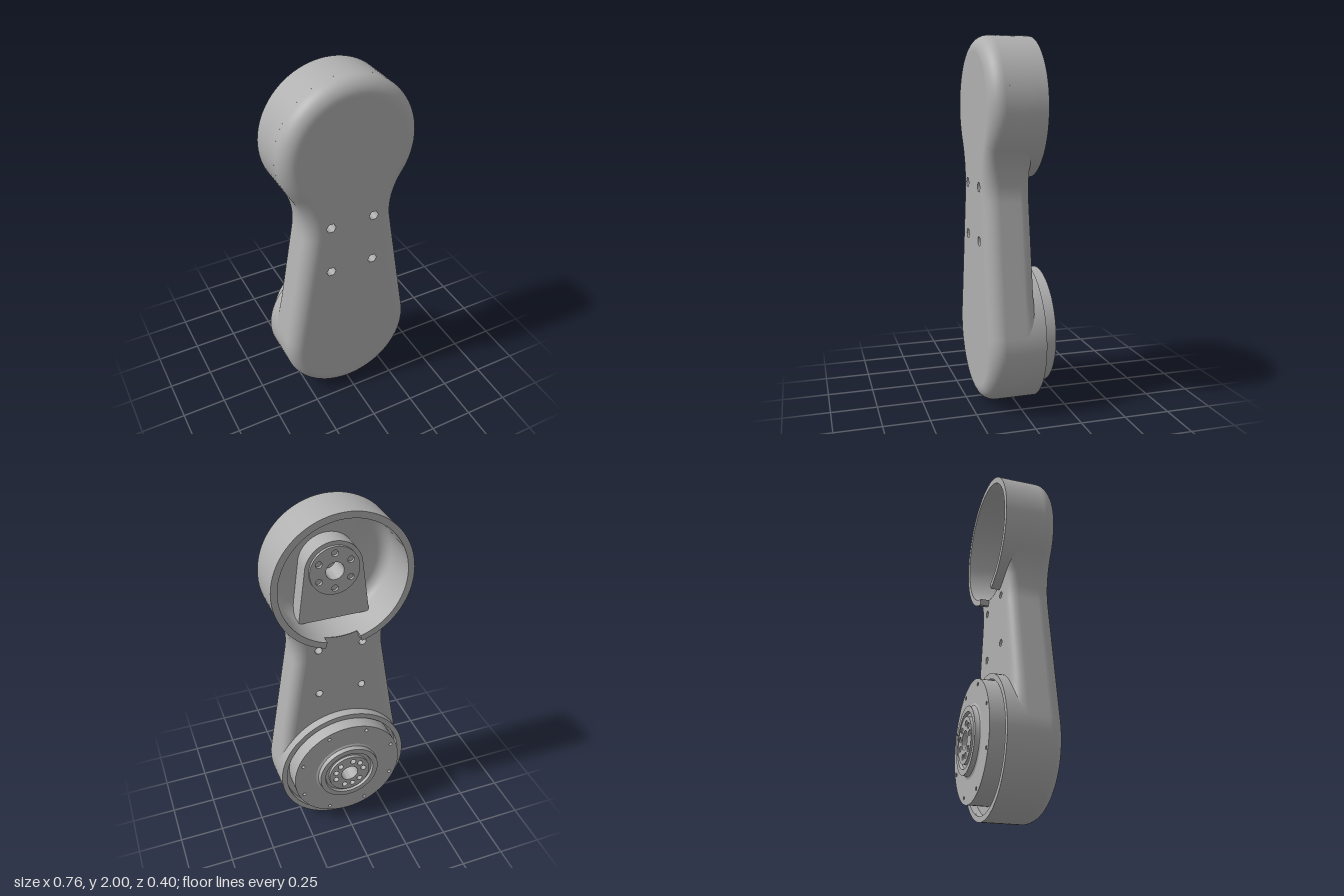
import * as THREE from 'three';
import { toCreasedNormals } from 'three/addons/utils/BufferGeometryUtils.js';

const R = 0.38, LOW = 0.38, HIGH = 1.62;   // end radius and the two joint heights
const FLANGE_Y = 0.403;

// Half outline: lower circle, straight flank, concave waist, upper circle
function outline() {
  const wr = 0.378, wx = 0.631, wy = 1.2;
  const a = Math.atan2(wy - LOW, wx) - Math.acos((R + wr) / Math.hypot(wx, wy - LOW));
  const b = Math.atan2(HIGH - wy, -wx);
  const half = [];
  const arc = (cx, cy, r, t0, t1, n, sign) => {
    for (let i = 0; i <= n; i++) {
      const t = t0 + (t1 - t0) * i / n, c = Math.cos(t), s = Math.sin(t);
      half.push({ x: cx + r * c, y: cy + r * s, nx: sign * c, ny: sign * s });
    }
  };
  arc(0, LOW, R, -Math.PI / 2, a, 24, 1);
  const p = half[half.length - 1];
  const q = { x: wx - wr * Math.cos(a), y: wy - wr * Math.sin(a) };
  for (let i = 1; i < 10; i++) {
    half.push({ ...p, x: p.x + (q.x - p.x) * i / 10, y: p.y + (q.y - p.y) * i / 10 });
  }
  arc(wx, wy, wr, a + Math.PI, b, 16, -1);
  arc(0, HIGH, R, b - Math.PI, Math.PI / 2, 30, 1);
  // drop the doubled point where waist and upper circle meet
  const clean = half.filter((v, i) => !i || Math.hypot(v.x - half[i - 1].x, v.y - half[i - 1].y) > 1e-6);
  const mirrored = clean.slice(1, -1).reverse().map(v => ({ ...v, x: -v.x, nx: -v.nx }));
  return [...clean, ...mirrored];
}

// Smooth wall through closed rings of [x, y, z], back to front
function loft(rings) {
  const n = rings[0].length, index = [];
  for (let k = 0; k < rings.length - 1; k++) {
    for (let i = 0; i < n; i++) {
      const j = (i + 1) % n, a = k * n + i, b = k * n + j;
      index.push(a, b, b + n, a, b + n, a + n);
    }
  }
  const g = new THREE.BufferGeometry();
  g.setAttribute('position', new THREE.Float32BufferAttribute(rings.flat(2), 3));
  g.setIndex(index);
  g.computeVertexNormals();
  return g;
}

// Lathe around the z axis from [radius, z] pairs
function turned(profile, y) {
  const g = new THREE.LatheGeometry(profile.map(p => new THREE.Vector2(...p)), 72);
  return toCreasedNormals(g.rotateX(Math.PI / 2), 0.6).translate(0, y, 0);
}

// Flat plate between z0 and z1
function plate(shape, z0, z1, y = 0) {
  const g = new THREE.ExtrudeGeometry(shape, { depth: z1 - z0, bevelEnabled: false, curveSegments: 36 });
  return toCreasedNormals(g, 0.4).translate(0, y, z0);
}

const circle = (x, y, r, Kind = THREE.Path) => new Kind().absarc(x, y, r, 0, Math.PI * 2, false);

// Disc with a centre hole and holes at the given angles
function drilledDisc(r, bore, holeR, pitch, angles) {
  const s = circle(0, 0, r, THREE.Shape);
  s.holes.push(circle(0, 0, bore));
  for (const t of angles) s.holes.push(circle(pitch * Math.cos(t), pitch * Math.sin(t), holeR));
  return s;
}

export function createModel() {
  const model = new THREE.Group();
  const grey = new THREE.MeshStandardMaterial({ color: 0xb0b0b0, side: THREE.DoubleSide });
  grey.name = 'grey';
  const add = (name, geometry) => {
    const m = new THREE.Mesh(geometry, grey);
    m.name = name;
    model.add(m);
    return m;
  };

  // Arm wall with rounded front and back edges; the back rounding fades out at the drums
  const pts = outline();
  const frontR = 0.08, backR = 0.06, zBack = -0.05, zFront = 0.2;
  const room = p => THREE.MathUtils.clamp(
    Math.min(Math.hypot(p.x, p.y - LOW), Math.hypot(p.x, p.y - HIGH)) - 0.36, 0, backR);
  const inset = (p, d) => [p.x - p.nx * d, p.y - p.ny * d];
  const rings = [];
  for (let i = 0; i <= 8; i++) {
    const t = Math.PI / 2 * i / 8;
    rings.push(pts.map(p => [...inset(p, room(p) * (1 - Math.sin(t))), zBack + backR * (1 - Math.cos(t))]));
  }
  for (let i = 0; i <= 10; i++) {
    const t = Math.PI / 2 * i / 10;
    rings.push(pts.map(p => [...inset(p, frontR * (1 - Math.cos(t))), zFront - frontR * (1 - Math.sin(t))]));
  }
  add('armWall', loft(rings));

  // Front face with hexagonal screw pockets
  const screws = [[-0.125, 0.92], [0.125, 0.92], [-0.125, 1.21], [0.125, 1.21]];
  const front = new THREE.Shape(pts.map(p => new THREE.Vector2(...inset(p, frontR))));
  for (const [x, y] of screws) {
    front.holes.push(new THREE.Path([0, 1, 2, 3, 4, 5].map(i => new THREE.Vector2(
      x + 0.028 * Math.cos(i * Math.PI / 3), y + 0.028 * Math.sin(i * Math.PI / 3)))));
  }
  add('frontFace', new THREE.ShapeGeometry(front).translate(0, 0, zFront));

  // Back face of the waist, between the two drums
  const side = pts.slice(0, pts.length / 2)
    .map(p => inset(p, room(p)))
    .filter(([x, y]) => Math.hypot(x, y - LOW) > 0.361 && Math.hypot(x, y - HIGH) > 0.361);
  const arcPoints = (cy, r, from, to) => Array.from({ length: 41 }, (_, i) => {
    const t = from + (to - from) * i / 40;
    return [r * Math.cos(t), cy + r * Math.sin(t)];
  });
  const [sx, sy] = side[0], [ex, ey] = side[side.length - 1];
  const up = Math.atan2(ey - HIGH, ex), down = Math.atan2(sy - LOW, sx);
  const back = new THREE.Shape([
    ...side, ...arcPoints(HIGH, 0.345, up, -Math.PI - up),
    ...side.slice().reverse().map(([x, y]) => [-x, y]),
    ...arcPoints(LOW, 0.36, Math.PI - down, down),
  ].map(p => new THREE.Vector2(...p)));
  for (const [x, y] of screws) back.holes.push(circle(x, y, 0.02));
  add('waistBack', new THREE.ShapeGeometry(back).rotateY(Math.PI).translate(0, 0, zBack));

  // Screw pockets and through holes
  for (const [x, y] of screws) {
    const tube = (r, n, z0, z1) => new THREE.CylinderGeometry(r, r, z1 - z0, n, 1, true, Math.PI / 2)
      .rotateX(Math.PI / 2).translate(x, y, (z0 + z1) / 2);
    add('screwPocket', tube(0.028, 6, 0.14, zFront));
    add('screwSeat', new THREE.RingGeometry(0.012, 0.028, 6).translate(x, y, 0.14));
    add('screwHole', tube(0.02, 20, zBack, 0.14));
  }

  // Upper cup: hollow with a rounded floor
  const cup = [[0, 0.16]];
  for (let i = 0; i <= 8; i++) {
    const t = Math.PI / 2 * i / 8;
    cup.push([0.284 + 0.06 * Math.sin(t), 0.1 + 0.06 * Math.cos(t)]);
  }
  cup.push([0.344, zBack]);
  add('cupInside', turned(cup, HIGH));

  // Cup rim, open at the bottom
  const gap = 0.27, a0 = -Math.PI / 2 + gap, a1 = Math.PI * 1.5 - gap;
  const rim = new THREE.Shape().absarc(0, 0, R, a0, a1, false);
  rim.absarc(0, 0, 0.345, a1, a0, true);
  rim.closePath();
  add('cupRim', plate(rim, -0.1, 0.1, HIGH));

  // Bearing tongue inside the cup
  const tongue = new THREE.Shape().moveTo(-0.2, -0.29).lineTo(0.2, -0.29);
  tongue.lineTo(0.158, 0.02).absarc(0, 0, 0.16, 0.12, Math.PI - 0.12, false).closePath();
  tongue.holes.push(circle(0, 0, 0.05));
  add('tongue', plate(tongue, 0.05, 0.16, HIGH));
  const six = Array.from({ length: 6 }, (_, i) => Math.PI / 6 + i * Math.PI / 3);
  add('tongueDisc', plate(drilledDisc(0.137, 0.05, 0.018, 0.1, six), 0.035, 0.05, HIGH));

  // Lower drum with a shallow groove around the flange
  add('lowerDrum', turned([[0, -0.06], [0.35, -0.06], [0.35, -0.1], [R, -0.1], [R, 0.1]], LOW));
  const eight = Array.from({ length: 8 }, (_, i) => (i + 0.5) * Math.PI / 4);
  add('flange', plate(drilledDisc(0.323, 0.05, 0.01, 0.293, eight), -0.17, -0.06, FLANGE_Y));

  // Output hub: flared collar, groove and drilled disc
  add('hubCollar', turned([[0.12, -0.185], [0.142, -0.185], [0.148, -0.2], [0.178, -0.2],
    [0.178, -0.185], [0.183, -0.175], [0.195, -0.17]], FLANGE_Y));
  const nine = [0, 1, 2].flatMap(g => [-1, 0, 1].map(k => 0.3 + g * Math.PI * 2 / 3 + k * 0.58));
  add('hubDisc', plate(drilledDisc(0.123, 0.05, 0.016, 0.087, nine), -0.203, -0.17, FLANGE_Y));

  return model;
}
